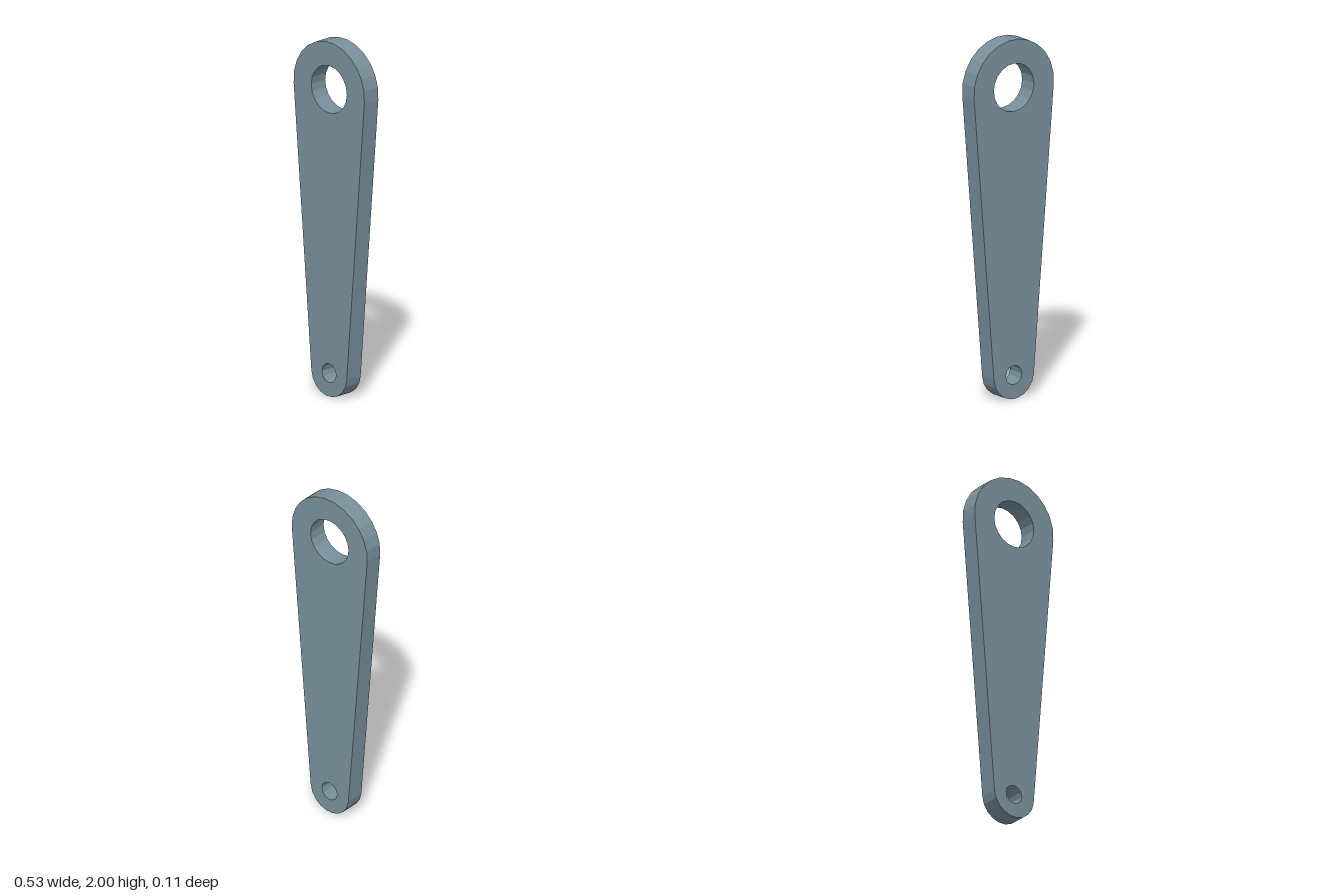
import * as THREE from 'three';

const BIG = { y: 1.735, r: 0.267, hole: 0.134, sides: 13, holeSides: 20 };
const SMALL = { y: 0.132, r: 0.1335, hole: 0.0535, sides: 9, holeSides: 12 };
const THICKNESS = 0.107;

// Points along a faceted arc centred on (0, y)
function arc(y, r, from, to, sides) {
  return Array.from({ length: sides + 1 }, (_, i) => {
    const a = from + (to - from) * i / sides;
    return new THREE.Vector2(r * Math.cos(a), y + r * Math.sin(a));
  });
}

export function createModel() {
  const group = new THREE.Group();
  group.name = 'taperedLinkArm';

  // Outline: two end arcs joined by their common tangents
  const tilt = Math.asin((BIG.r - SMALL.r) / (BIG.y - SMALL.y));
  const shape = new THREE.Shape([
    ...arc(BIG.y, BIG.r, -tilt, Math.PI + tilt, BIG.sides),
    ...arc(SMALL.y, SMALL.r, Math.PI + tilt, 2 * Math.PI - tilt, SMALL.sides),
  ]);

  // Pivot holes at both ends
  for (const end of [BIG, SMALL]) {
    const points = arc(end.y, end.hole, 0, -2 * Math.PI, end.holeSides).slice(0, -1);
    shape.holes.push(new THREE.Path(points));
  }

  // Flat plate
  const geometry = new THREE.ExtrudeGeometry(shape, { depth: THICKNESS, bevelEnabled: false });
  geometry.translate(0, 0, -THICKNESS / 2);
  const material = new THREE.MeshStandardMaterial({ color: 0x78909c, flatShading: true });
  const arm = new THREE.Mesh(geometry, material);
  arm.name = 'armPlate';
  group.add(arm);
  return group;
}
